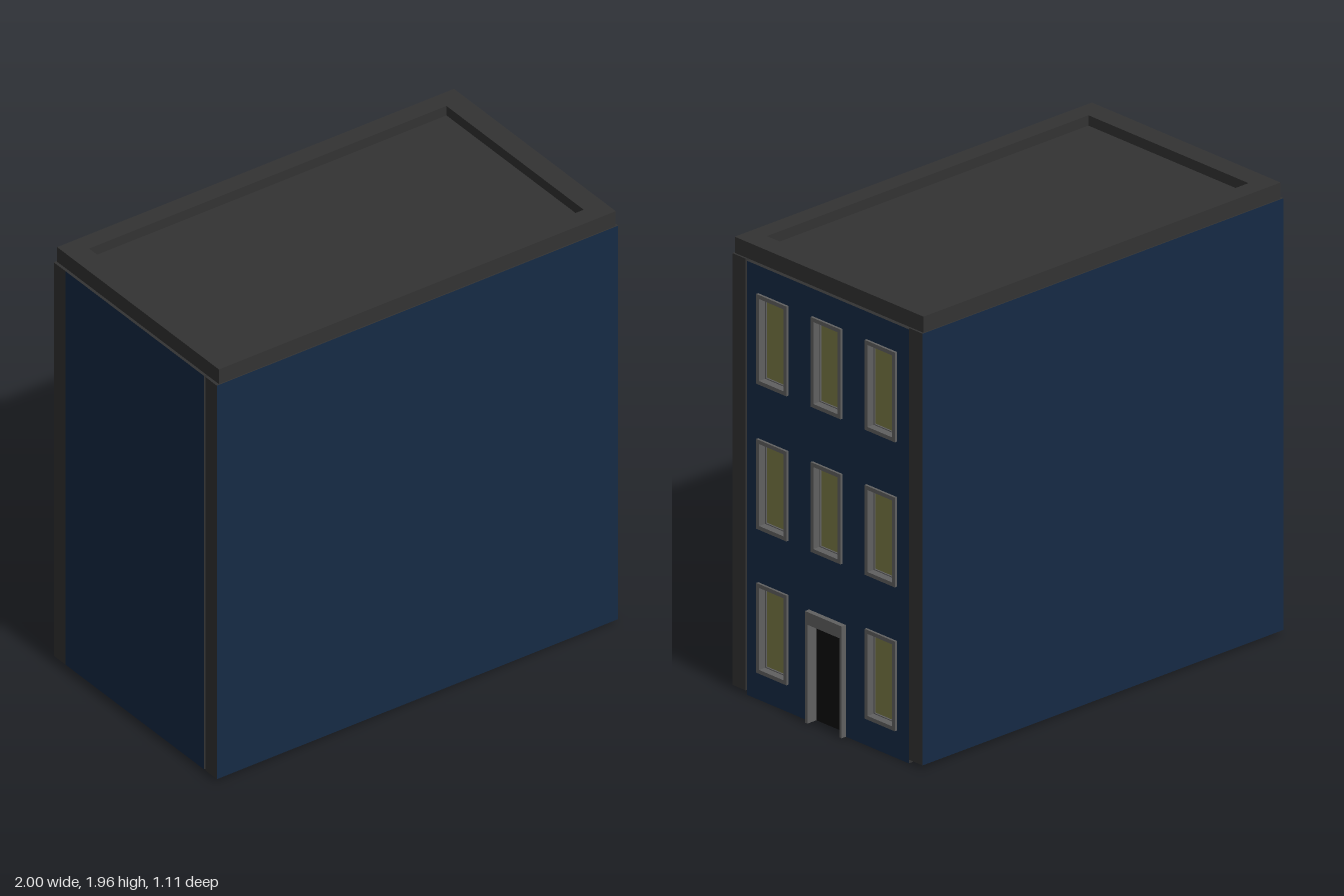
import * as THREE from 'three';

const mat = (color) => new THREE.MeshStandardMaterial({ color });

export function createModel() {
  const group = new THREE.Group();
  const blue = mat(0x152a45), dark = mat(0x333333), trim = mat(0x606060);
  const pane = mat(0x7a7a45), black = mat(0x0c0c0c), brass = mat(0x5a5020);

  const add = (name, geometry, material) => {
    const mesh = new THREE.Mesh(geometry, material);
    mesh.name = name;
    group.add(mesh);
    return mesh;
  };
  // Box given by its limits on each axis
  const box = (name, [x0, x1], [y0, y1], [z0, z1], material) =>
    add(name, new THREE.BoxGeometry(x1 - x0, y1 - y0, z1 - z0), material)
      .position.set((x0 + x1) / 2, (y0 + y1) / 2, (z0 + z1) / 2);
  const rect = (path, x0, x1, y0, y1) =>
    path.moveTo(x0, y0).lineTo(x1, y0).lineTo(x1, y1).lineTo(x0, y1).closePath();
  const ring = (x0, x1, y0, y1, wx, wy = wx) => {
    const shape = rect(new THREE.Shape(), x0, x1, y0, y1);
    shape.holes.push(rect(new THREE.Path(), x0 + wx, x1 - wx, y0 + wy, y1 - wy));
    return shape;
  };
  // Slab facing +x; the shape's horizontal axis runs along -z
  const slabX = (name, shape, x0, x1, material) => {
    const g = new THREE.ExtrudeGeometry(shape, { depth: x1 - x0, bevelEnabled: false });
    add(name, g.rotateY(Math.PI / 2).translate(x0, 0, 0), material);
  };

  // Outer walls: painted on the outside face only
  const painted = (face) => Array.from({ length: 6 }, (_, i) => (i === face ? blue : dark));
  box('sideWallFront', [-1, 0.975], [0.015, 1.89], [0.475, 0.553], painted(4));
  box('sideWallBack', [-1, 0.975], [0.015, 1.89], [-0.553, -0.475], painted(5));
  box('rearWall', [-1, -0.93], [0.015, 1.89], [-0.475, 0.465], painted(1));

  // Facade with window openings and a doorway notch
  const mid = 0.0025, doorHalf = 0.107, doorTop = 0.485;
  const facade = new THREE.Shape();
  facade.moveTo(-0.465, 0).lineTo(mid - doorHalf, 0).lineTo(mid - doorHalf, doorTop)
    .lineTo(mid + doorHalf, doorTop).lineTo(mid + doorHalf, 0)
    .lineTo(0.475, 0).lineTo(0.475, 1.885).lineTo(-0.465, 1.885).closePath();

  const halfW = 0.0875, winH = 0.39;
  [0.12, 0.745, 1.375].forEach((y, row) => {
    [-1, 0, 1].forEach((col) => {
      if (row === 0 && col === 0) return; // doorway
      const c = mid + col * 0.315, l = c - halfW, r = c + halfW;
      facade.holes.push(rect(new THREE.Path(), l, r, y, y + winH));
      slabX('windowFrame', ring(l, r, y, y + winH, 0.017), 0.93, 0.988, trim);
      slabX('windowSash', ring(l + 0.015, r - 0.015, y + 0.015, y + winH - 0.015, 0.006),
        0.93, 0.955, trim);
      box('windowPane', [0.93, 0.948], [y + 0.01, y + winH - 0.01],
        [-r + 0.01, -l - 0.01], pane);
    });
  });
  slabX('facade', facade, 0.91, 0.977, [blue, dark]);
  box('facadeLining', [0.905, 0.91], [0.005, 1.88], [-0.475, 0.465], dark);

  // Door, its surround and knob
  const jamb = 0.014, lintel = 0.43;
  const surround = new THREE.Shape();
  surround.moveTo(mid - doorHalf, 0).lineTo(mid - doorHalf + jamb, 0)
    .lineTo(mid - doorHalf + jamb, lintel).lineTo(mid + doorHalf - jamb, lintel)
    .lineTo(mid + doorHalf - jamb, 0).lineTo(mid + doorHalf, 0)
    .lineTo(mid + doorHalf, doorTop).lineTo(mid - doorHalf, doorTop).closePath();
  slabX('doorSurround', surround, 0.93, 1, trim);
  box('door', [0.92, 0.95], [0, 0.44], [-0.1, 0.095], black);
  add('doorKnob', new THREE.SphereGeometry(0.009, 16, 10), brass).position.set(0.958, 0.22, -0.074);

  // Roof parapet with a sunken deck
  const parapet = new THREE.ExtrudeGeometry(ring(-0.987, 0.966, -0.548, 0.548, 0.097, 0.083),
    { depth: 0.07, bevelEnabled: false });
  add('parapet', parapet.rotateX(-Math.PI / 2).translate(0, 1.89, 0), dark);
  box('roofDeck', [-0.9, 0.88], [1.89, 1.915], [-0.475, 0.475], dark);

  return group;
}
